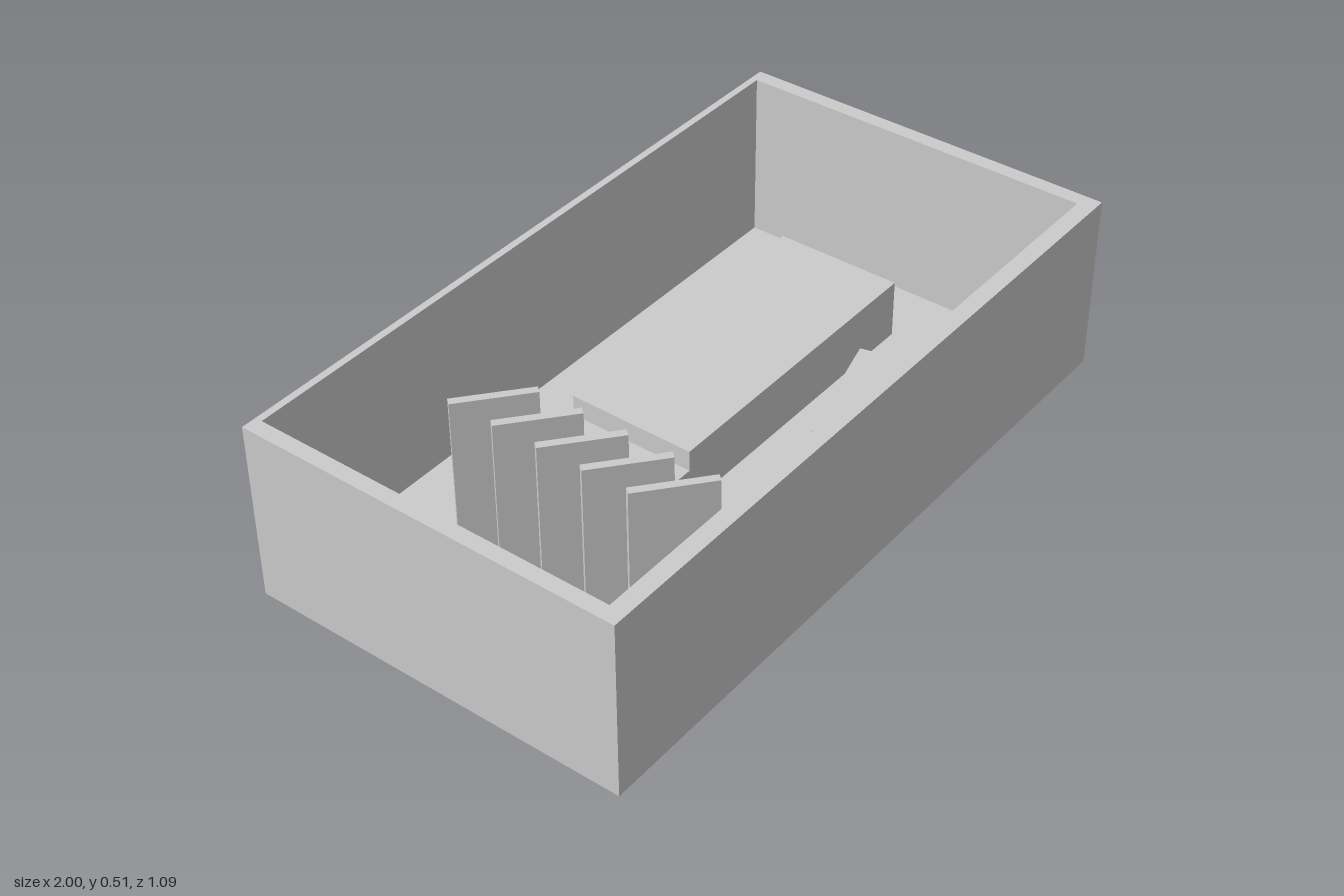
import * as THREE from 'three';

const FLOOR = 0.02;
const HEIGHT = 0.51;

export function createModel() {
  const model = new THREE.Group();
  const material = new THREE.MeshStandardMaterial({ color: 0xcccccc });

  // Box given by its extents on each axis
  const block = (name, [x0, x1], [y0, y1], [z0, z1], parent = model) => {
    const mesh = new THREE.Mesh(new THREE.BoxGeometry(x1 - x0, y1 - y0, z1 - z0), material);
    mesh.position.set((x0 + x1) / 2, (y0 + y1) / 2, (z0 + z1) / 2);
    mesh.name = name;
    parent.add(mesh);
    return mesh;
  };

  // Open tray: floor and four walls
  const tray = new THREE.Group();
  tray.name = 'tray';
  model.add(tray);
  block('floor', [-0.957, 0.957], [0, FLOOR], [-0.525, 0.497], tray);
  block('backWall', [-0.957, 0.957], [0, HEIGHT], [-0.545, -0.525], tray);
  block('frontWall', [-0.957, 0.957], [0, HEIGHT], [0.497, 0.545], tray);
  block('rightWall', [-1, -0.957], [0, HEIGHT], [-0.545, 0.545], tray);
  block('leftWall', [0.957, 1], [0, HEIGHT], [-0.545, 0.545], tray);

  // Long stepped block with a small block at its end
  block('mainBlock', [-0.14, 0.765], [FLOOR, 0.19], [-0.29, 0.08]);
  block('lowerStep', [-0.24, -0.14], [FLOOR, 0.13], [-0.29, 0.08]);
  block('endBlock', [-0.325, -0.24], [FLOOR, 0.09], [-0.135, 0.08]);

  // Loose block turned at an angle
  const turned = block('angledBlock', [0.203, 0.577], [FLOOR, 0.118], [0.165, 0.345]);
  turned.rotation.y = THREE.MathUtils.degToRad(15);

  // Low bar near the right wall
  block('lowBar', [-0.79, -0.747], [FLOOR, 0.1], [-0.067, 0.143]);

  // Row of tall slanted fins
  const fins = new THREE.Group();
  fins.name = 'fins';
  model.add(fins);
  for (let i = 0; i < 5; i++) {
    const z = -0.185 + i * 0.133;
    const fin = block('fin', [-0.651, -0.437], [FLOOR, 0.49], [z - 0.011, z + 0.011], fins);
    fin.rotation.y = THREE.MathUtils.degToRad(-40);
  }

  return model;
}
